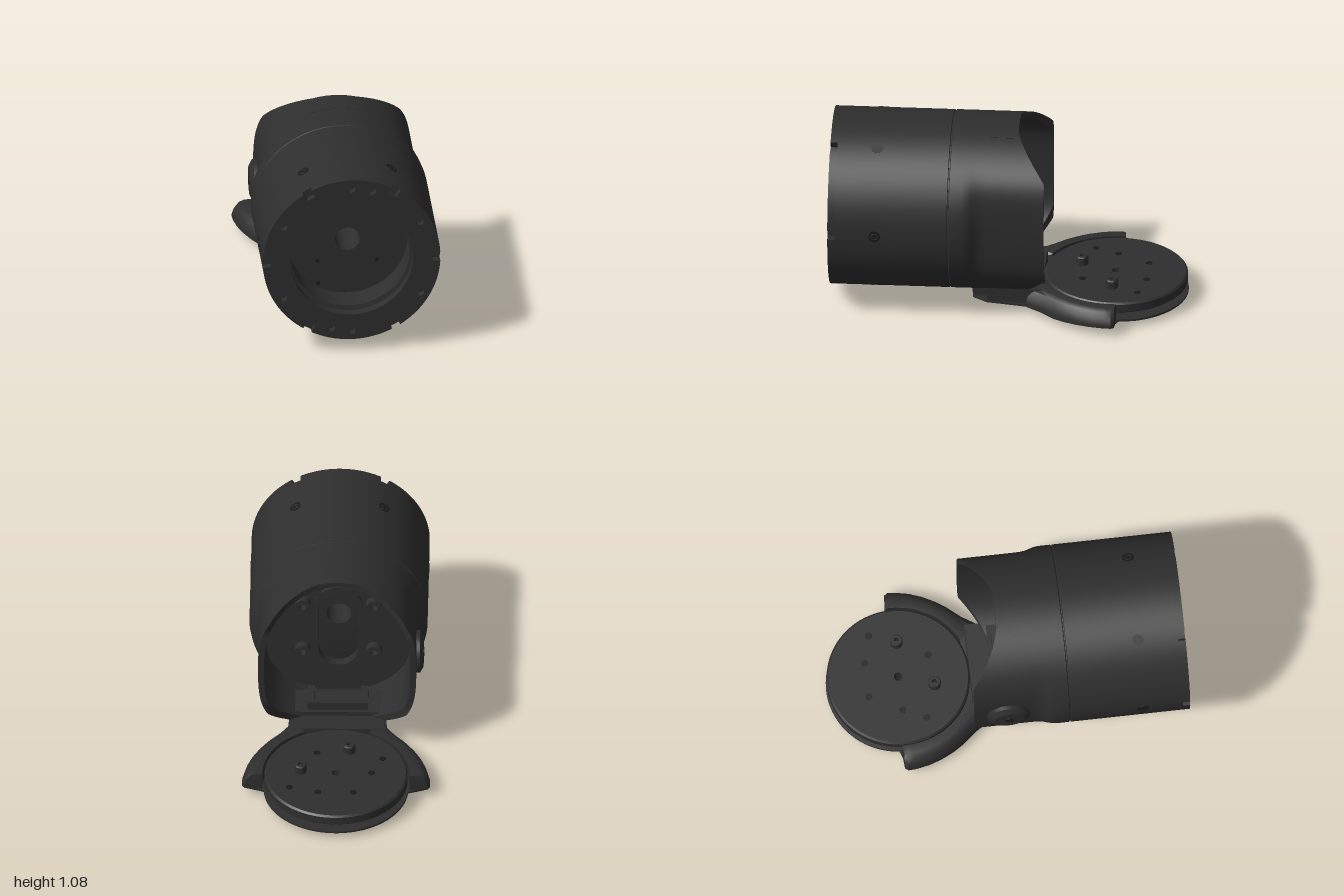
import * as THREE from 'three';
import { toCreasedNormals } from 'three/addons/utils/BufferGeometryUtils.js';

const CY = 0.574;   // height of the barrel axis
const DZ = -0.592;  // centre of the round foot
const V = (x, y, z) => new THREE.Vector3(x, y, z);
const { clamp, lerp } = THREE.MathUtils;

// Skin a list of closed loops with equal point counts
function loft(rings, { flip = false, closed = false, crease = 0.5 } = {}) {
  const n = rings[0].length, idx = [], m = rings.length;
  for (let i = 0; i < (closed ? m : m - 1); i++) {
    for (let j = 0; j < n; j++) {
      const a = i * n + j, b = i * n + (j + 1) % n;
      const d = ((i + 1) % m) * n + j, c = ((i + 1) % m) * n + (j + 1) % n;
      if (flip) idx.push(a, b, d, b, c, d);
      else idx.push(a, d, b, b, d, c);
    }
  }
  const g = new THREE.BufferGeometry().setFromPoints(rings.flat());
  g.setIndex(idx);
  return toCreasedNormals(g, crease);
}

function lathe(points, segments = 96) {
  const g = new THREE.LatheGeometry(points.map(p => new THREE.Vector2(...p)), segments);
  return toCreasedNormals(g, 0.5);
}

function extrude(shape, depth) {
  const g = new THREE.ExtrudeGeometry(shape, { depth, bevelEnabled: false, curveSegments: 32 });
  return toCreasedNormals(g, 0.5);
}

const circleHole = (x, y, r) => new THREE.Path().absarc(x, y, r, 0, Math.PI * 2, true);

// Circle whose sides are softly flattened towards width w by the amount t, with a shallow flat underneath
function section(r, w, t, count = 160) {
  return Array.from({ length: count }, (_, i) => {
    const a = i / count * Math.PI * 2, x = r * Math.cos(a);
    const soft = x / Math.pow(1 + Math.pow(Math.abs(x) / w, 12), 1 / 12);
    return [lerp(x, soft, t), Math.max(r * Math.sin(a), -0.484)];
  });
}

export function createModel() {
  const model = new THREE.Group();
  const body = new THREE.MeshStandardMaterial({ color: 0x2e2e2e });
  body.name = 'charcoal';
  const dark = new THREE.MeshStandardMaterial({ color: 0x1a1a1a });
  dark.name = 'black';

  const add = (name, geo, x = 0, y = 0, z = 0, mat = body) => {
    const m = new THREE.Mesh(geo, mat);
    m.name = name;
    m.position.set(x, y, z);
    model.add(m);
    return m;
  };
  const box = (name, w, h, d, x, y, z) => add(name, new THREE.BoxGeometry(w, h, d), x, y, z);

  // Barrel with a deep stepped front recess and a centre bore
  add('barrel', lathe([[0.07, 0.322], [0.494, 0.322], [0.494, 0.327], [0.5, 0.33], [0.5, 0.96],
    [0.345, 0.96], [0.345, 0.945], [0.365, 0.94], [0.365, 0.905], [0.338, 0.9], [0.338, 0.74],
    [0.07, 0.74], [0.07, 0.322]]).rotateX(Math.PI / 2), 0, CY, 0);

  // Front rim with six notches and bolt holes
  const rim = new THREE.Shape();
  const step = Math.PI / 3, half = 0.055;
  for (let k = 0; k < 6; k++) {
    const a = k * step;
    rim.absarc(0, 0, 0.5, a + half, a + step - half);
    rim.absarc(0, 0, 0.455, a + step - half, a + step + half);
  }
  rim.holes.push(circleHole(0, 0, 0.345));
  for (let k = 0; k < 6; k++) {
    const a = (k + 0.5) * step;
    rim.holes.push(circleHole(0.445 * Math.cos(a), 0.445 * Math.sin(a), 0.022));
  }
  rim.holes.push(circleHole(0.115, 0.425, 0.022), circleHole(-0.115, -0.425, 0.022));
  add('frontRim', extrude(rim, 0.04), 0, CY, 0.96);

  // Small holes in the recess floor
  for (const [x, y] of [[-0.17, 0.44], [0.165, 0.435], [-0.165, 0.3]]) {
    add('recessHole', new THREE.CylinderGeometry(0.012, 0.012, 0.004, 16).rotateX(Math.PI / 2), x, y, 0.74, dark);
  }

  // Side screws around the barrel
  for (let k = 0; k < 6; k++) {
    const screw = new THREE.Group();
    screw.name = 'barrelScrew';
    const seat = new THREE.Mesh(new THREE.CylinderGeometry(0.034, 0.034, 0.006, 24), dark);
    seat.name = 'screwSeat';
    const head = new THREE.Mesh(new THREE.TorusGeometry(0.018, 0.004, 8, 24).rotateX(Math.PI / 2), body);
    head.name = 'screwHead';
    screw.add(seat, head);
    const a = k * step;
    screw.position.set(0.498 * Math.cos(a), CY + 0.498 * Math.sin(a), 0.735);
    screw.rotation.z = a - Math.PI / 2;
    model.add(screw);
  }

  // Rear housing: open shell with flat sides, its back edge concentric with the foot
  const backZ = x => Math.max(-0.212, -0.57 + Math.sqrt(0.53 * 0.53 - x * x));
  const ring = (r, w, t, z) => section(r, w, t).map(([x, y]) => V(x, y, z ?? backZ(x)));
  add('rearHousing', loft([
    ring(0.48, 0.455, 0, 0.322), ring(0.494, 0.455, 0, 0.322), ring(0.5, 0.455, 0, 0.318),
    ring(0.5, 0.455, 0, 0.25), ring(0.5, 0.455, 0.12, 0.22), ring(0.5, 0.455, 0.4, 0.195),
    ring(0.5, 0.455, 0.75, 0.17), ring(0.5, 0.455, 0.94, 0.14), ring(0.5, 0.455, 1, 0.11),
    ring(0.5, 0.455, 1), ring(0.465, 0.42, 1), ring(0.465, 0.42, 1, 0.24),
  ], { crease: 0.7 }), 0, CY, 0);

  // Inner bulkhead with a tall rounded slot
  const wall = new THREE.Shape(section(0.475, 0.43, 1).map(p => new THREE.Vector2(...p)));
  const slot = (r, h) => new THREE.Path().absarc(0, h, r, 0, Math.PI).absarc(0, -h, r, Math.PI, Math.PI * 2);
  wall.holes.push(slot(0.11, 0.15));
  add('bulkhead', extrude(wall, 0.03), 0, CY, 0.21);
  const lip = new THREE.Shape(slot(0.135, 0.15).getPoints(24));
  lip.holes.push(slot(0.11, 0.15));
  add('slotLip', extrude(lip, 0.025), 0, CY, 0.185);
  for (const sx of [-1, 1]) {
    for (const sy of [-1, 1]) {
      add('bulkheadBoss', lathe([[0.018, 0], [0.045, 0], [0.045, 0.05], [0.018, 0.05], [0.018, 0]], 24)
        .rotateX(Math.PI / 2), sx * 0.2, CY + sy * 0.16, 0.165);
    }
    box('latchBracket', 0.05, 0.08, 0.12, sx * 0.12, 0.99, 0.05);
  }

  // Hatch plate on top of the housing
  const arc = Math.asin(0.16 / 0.5);
  const hatch = new THREE.Shape();
  hatch.absarc(0, 0, 0.502, Math.PI / 2 - arc, Math.PI / 2 + arc);
  hatch.absarc(0, 0, 0.48, Math.PI / 2 + arc, Math.PI / 2 - arc, true);
  add('topHatch', extrude(hatch, 0.165), 0, CY, -0.05);

  // Round knob on the flat right side
  add('sideKnob', lathe([[0, 0], [0.12, 0], [0.12, 0.025], [0.085, 0.045], [0, 0.045]], 48)
    .rotateZ(Math.PI / 2), -0.438, CY, -0.02);
  add('knobCentre', new THREE.CylinderGeometry(0.025, 0.025, 0.006, 24).rotateZ(Math.PI / 2), -0.484, CY, -0.02, dark);

  // Foot base: arm, wings and round heel tapering to a round sole
  const side = [[0.21, 0.2], [0.265, 0.12], [0.28, -0.1], [0.34, -0.195], [0.40, -0.265], [0.445, -0.33],
    [0.482, -0.4], [0.51, -0.475], [0.526, -0.55], [0.529, -0.595], [0.515, -0.613], [0.45, -0.617]];
  const heel = Array.from({ length: 25 }, (_, i) => {
    const t = 0.1 + i / 24 * (Math.PI / 2 - 0.1);
    return [0.407 * Math.cos(t), DZ - 0.407 * Math.sin(t)];
  });
  const halfLine = [[0, 0.2], [0.07, 0.2], [0.14, 0.2], ...side, ...heel];
  const outline = [...halfLine, ...halfLine.slice(1, -1).reverse().map(([x, z]) => [-x, z])];
  // Height of the lower edge: lifts towards the arm and the wing tips
  const low = (x, z) => clamp(Math.max(0.037 + (z + 0.3) * 0.055, 0.037 + (Math.abs(x) - 0.4) * 0.14), 0.035, 0.062);
  const edge = lift => outline.map(([x, z]) => V(x, low(x, z) + lift, z));
  const circle = (r, y) => outline.map(([x, z]) => {
    const k = r / Math.hypot(x, z - DZ);
    return V(x * k, y, DZ + (z - DZ) * k);
  });
  add('footBase', loft([
    circle(0.025, 0.048), circle(0.38, 0.048), edge(0.012), edge(0), circle(0.33, 0), circle(0.025, 0),
  ], { closed: true, crease: 0.3 }));

  // Raised guard wings either side of the turntable
  const guard = [[0.24, -0.1], ...side.slice(2), [0.413, -0.618]];
  for (const s of [1, -1]) {
    add(s > 0 ? 'leftWing' : 'rightWing', loft(guard.map(([x, z]) => {
      const k = 0.412 / Math.hypot(x, z - DZ);
      const ix = x * k, iz = DZ + (z - DZ) * k, b = low(x, z);
      const at = (f, y) => V(s * (ix + (x - ix) * f), y, iz + (z - iz) * f);
      return [at(0, 0.04), at(1, b), at(1, 0.072), at(0.9, 0.108), at(0.7, 0.138), at(0.45, 0.15), at(0, 0.15)];
    }), { flip: s < 0, crease: 0.6 }));
  }

  // Turntable with a groove below it and a centre bore
  add('turntable', lathe([[0.025, 0.045], [0.31, 0.045], [0.31, 0.088], [0.395, 0.088], [0.402, 0.095],
    [0.402, 0.14], [0.392, 0.15], [0.025, 0.15], [0.025, 0.045]]), 0, 0, DZ);
  for (const [x, z] of [[0.2, -0.58], [-0.07, -0.395]]) {
    add('turntablePost', lathe([[0.014, 0.14], [0.035, 0.14], [0.035, 0.195], [0.03, 0.202],
      [0.014, 0.202], [0.014, 0.14]], 24), x, 0, z);
  }
  for (const [x, z] of [[0.1, -0.77], [-0.1, -0.77], [-0.2, -0.59], [0.11, -0.41], [0.26, -0.73], [-0.26, -0.46]]) {
    add('turntableHole', new THREE.CylinderGeometry(0.02, 0.02, 0.004, 20), x, 0.149, z, dark);
  }

  // Arm and hinge that carry the foot under the housing
  box('arm', 0.53, 0.09, 0.31, 0, 0.105, -0.035);
  add('hingeBar', new THREE.CylinderGeometry(0.043, 0.043, 0.42, 24).rotateZ(Math.PI / 2), 0, 0.107, 0.16);

  // Tray and latch on the housing floor
  box('floorTray', 0.5, 0.03, 0.2, 0, 0.16, 0.03);
  for (const s of [-1, 1]) box('trayRail', 0.04, 0.06, 0.16, s * 0.15, 0.195, 0.03);
  box('trayStop', 0.26, 0.06, 0.03, 0, 0.195, -0.035);

  return model;
}
